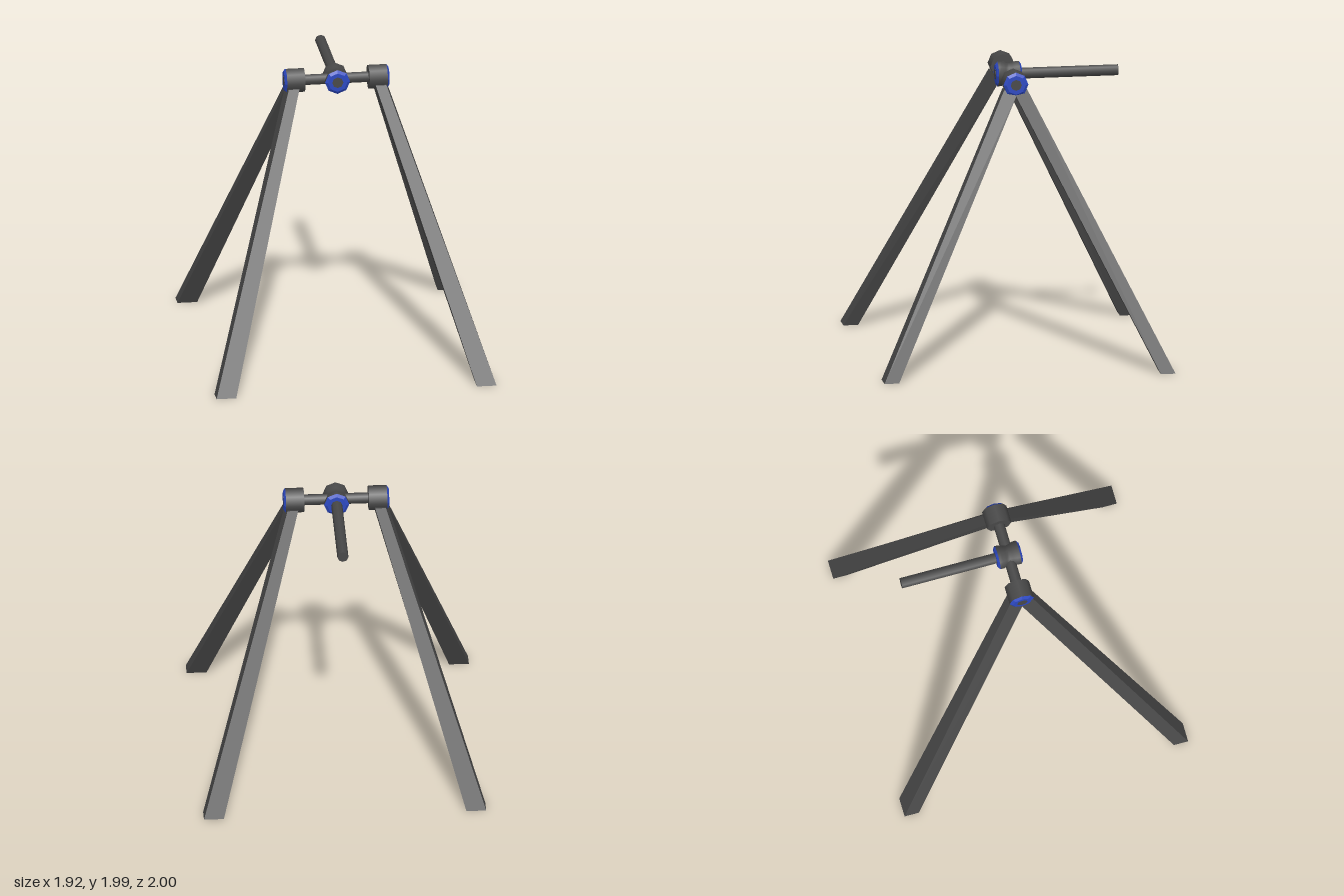
import * as THREE from 'three';

const HUB_Y = 1.908; // height of the joint axes
const SIDES = 8;
const HUB_R = 0.086;
const BAR_R = 0.038;

const flat = (geo) => {
  const g = geo.toNonIndexed();
  g.computeVertexNormals();
  return g;
};
const lathe = (pts) => new THREE.LatheGeometry(pts.map(([r, y]) => new THREE.Vector2(r, y)), SIDES);

export function createModel() {
  const dark = new THREE.MeshStandardMaterial({ color: 0x484848 });
  dark.name = 'dark grey';
  const blue = new THREE.MeshStandardMaterial({ color: 0x2c48c0 });
  blue.name = 'blue';

  const model = new THREE.Group();
  model.name = 'stand';
  const add = (parent, name, geo, mat) => {
    const mesh = new THREE.Mesh(geo, mat);
    mesh.name = name;
    parent.add(mesh);
    return mesh;
  };

  // Chamfered blue ring, its base at y = 0
  const capGeo = flat(lathe([[HUB_R, 0], [0.066, 0.014], [BAR_R - 0.004, 0.014]]));

  // Outer joints: one blue cap each, facing outwards
  for (const side of [1, -1]) {
    const joint = new THREE.Group();
    joint.name = side > 0 ? 'leftJoint' : 'rightJoint';
    joint.position.set(side * 0.22, HUB_Y, 0);
    joint.rotation.z = -side * Math.PI / 2;
    const body = new THREE.CylinderGeometry(HUB_R, HUB_R, 0.125, SIDES);
    body.translate(0, 0.0625, 0);
    add(joint, 'jointBody', body, dark);
    add(joint, 'jointCap', capGeo, blue).position.y = 0.125;
    model.add(joint);
  }

  // Centre joint: waisted body with a blue cap on both ends
  const centre = new THREE.Group();
  centre.name = 'centreJoint';
  centre.position.y = HUB_Y;
  centre.rotation.x = Math.PI / 2;
  add(centre, 'centreBody', lathe([
    [HUB_R, -0.074], [HUB_R, -0.05], [0.076, -0.022], [0.073, 0],
    [0.076, 0.022], [HUB_R, 0.05], [HUB_R, 0.074],
  ]), dark);
  add(centre, 'frontCap', capGeo, blue).position.y = 0.074;
  const backCap = add(centre, 'backCap', capGeo, blue);
  backCap.position.y = -0.074;
  backCap.rotation.x = Math.PI;
  model.add(centre);

  // Crossbar between the outer joints, its ends flush with the caps
  const cross = add(model, 'crossbar', new THREE.CylinderGeometry(BAR_R, BAR_R, 0.72, SIDES), dark);
  cross.rotation.z = Math.PI / 2;
  cross.position.y = HUB_Y;

  // Handle pointing backwards through the centre joint
  const handle = add(model, 'handle', new THREE.CylinderGeometry(BAR_R, BAR_R, 0.845, SIDES), dark);
  handle.rotation.x = Math.PI / 2;
  handle.position.set(0, HUB_Y, (0.09 - 0.755) / 2);

  // Splayed legs: a box whose corners are moved to the foot and top sections
  const top = 1.87;
  for (const sx of [1, -1]) {
    for (const sz of [1, -1]) {
      const geo = new THREE.BoxGeometry(1, 1, 1);
      const p = geo.attributes.position;
      for (let i = 0; i < p.count; i++) {
        const outX = p.getX(i) * sx > 0;
        const outZ = p.getZ(i) * sz > 0;
        if (p.getY(i) < 0) {
          p.setXYZ(i, sx * (outX ? 0.96 : 0.825), 0, sz * (outZ ? 1 : 0.9));
        } else {
          const x = outZ ? (outX ? 0.335 : 0.262) : (outX ? 0.345 : 0.246);
          p.setXYZ(i, sx * x, top, sz * (outZ ? 0.08 : -0.02));
        }
      }
      const name = (sz > 0 ? 'front' : 'back') + (sx > 0 ? 'Left' : 'Right') + 'Leg';
      add(model, name, flat(geo), dark);
    }
  }

  return model;
}
